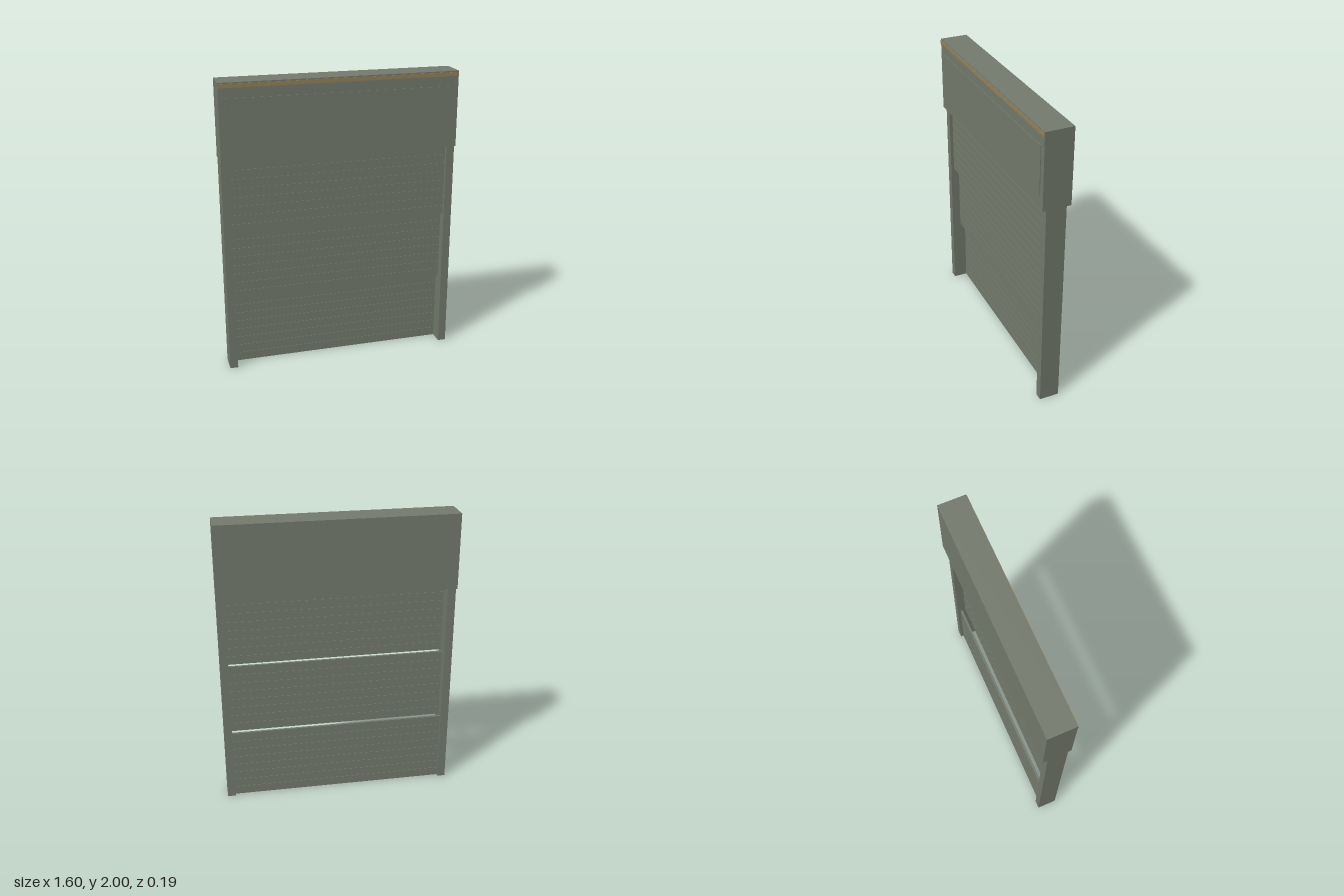
import * as THREE from 'three';

export function createModel() {
  const model = new THREE.Group();
  model.name = 'rollerShutterDoor';
  const greyGreen = new THREE.MeshStandardMaterial({ color: 0x747a6d });
  greyGreen.name = 'greyGreen';
  const tan = new THREE.MeshStandardMaterial({ color: 0x92815a });
  tan.name = 'tan';

  // box given by its minimum and maximum corners
  function box(parent, name, min, max, material = greyGreen) {
    const size = max.map((v, i) => v - min[i]);
    const mesh = new THREE.Mesh(new THREE.BoxGeometry(...size), material);
    mesh.position.set(...max.map((v, i) => (v + min[i]) / 2));
    mesh.name = name;
    parent.add(mesh);
    return mesh;
  }

  const halfWidth = 0.8, inner = 0.745, headerY = 1.485;

  // header housing with its thin front cover and accent strip
  box(model, 'headerHousing', [-halfWidth, headerY, -0.097], [halfWidth, 2, 0.093]);
  box(model, 'headerCover', [-0.76, 1.58, 0.092], [0.76, 1.9, 0.097]);
  box(model, 'accentStrip', [-halfWidth, 1.967, 0.09], [halfWidth, 1.992, 0.097], tan);

  // side posts
  box(model, 'leftPost', [inner, 0, -0.066], [halfWidth, headerY, 0.07]);
  box(model, 'rightPost', [-halfWidth, 0, -0.066], [-inner, headerY, 0.07]);

  // three shutter panels, each further forward than the one below
  const panelHeight = headerY / 3, slats = 8, pitch = panelHeight / slats, groove = 0.004;
  [['lowerPanel', -0.036], ['middlePanel', 0.002], ['upperPanel', 0.04]].forEach(([name, z], i) => {
    const panel = new THREE.Group();
    panel.name = name;
    model.add(panel);
    const y0 = i * panelHeight;
    box(panel, 'panelCore', [-inner, y0 + 0.002, z - 0.005], [inner, y0 + panelHeight - 0.002, z + 0.005]);
    for (let s = 0; s < slats; s++) {
      const bottom = y0 + s * pitch + (s > 0 ? groove / 2 : 0);
      const top = y0 + (s + 1) * pitch - (s < slats - 1 ? groove / 2 : 0);
      box(panel, 'slat', [-inner, bottom, z - 0.008], [inner, top, z + 0.008]);
    }
  });

  return model;
}
